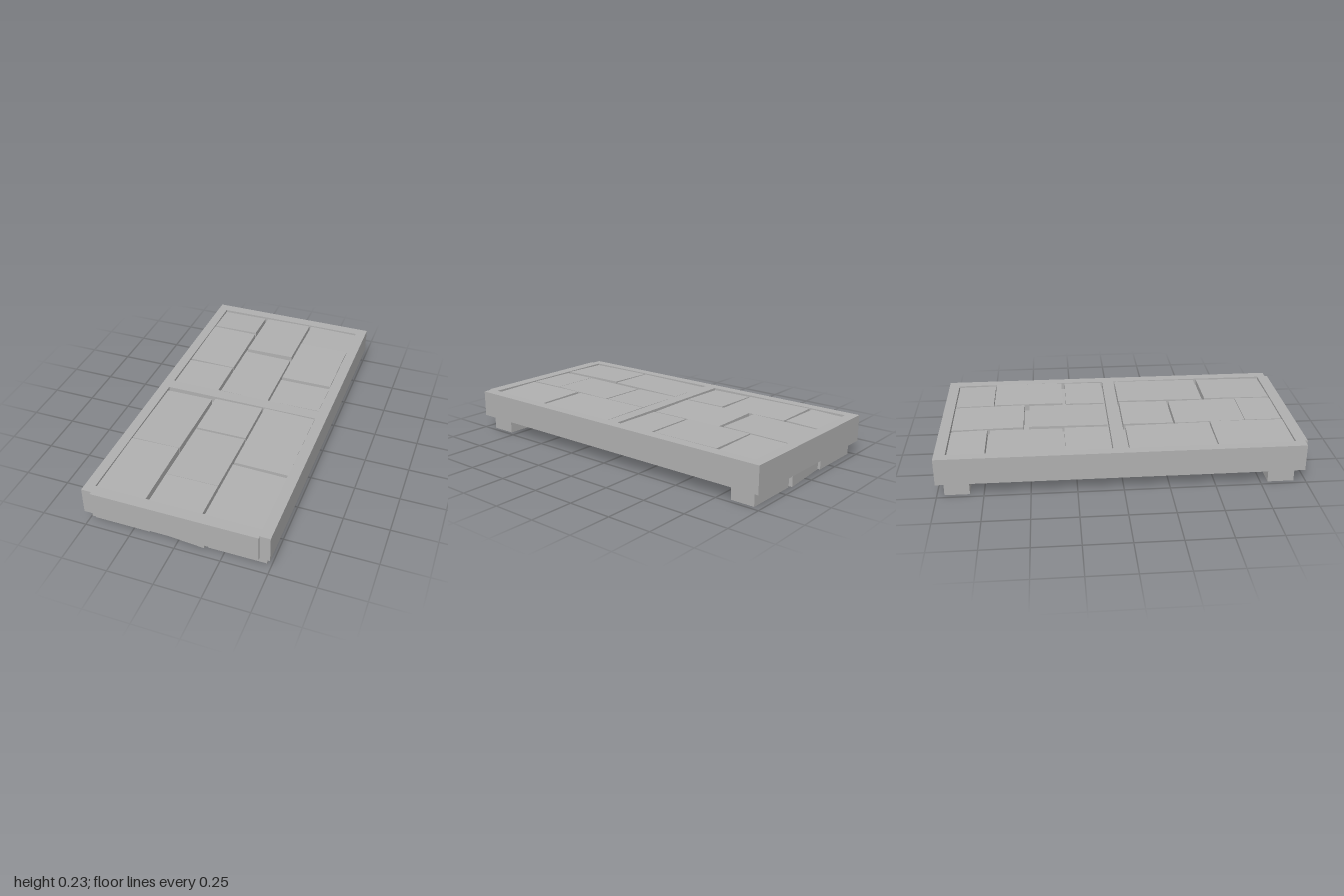
import * as THREE from 'three';

export function createModel() {
  const model = new THREE.Group();
  model.name = 'pavedPlatform';
  const stone = new THREE.MeshStandardMaterial({ color: 0xb0b0b0 });
  stone.name = 'grey stone';

  // box given by its limits on each axis
  function block(name, [x0, x1], [y0, y1], [z0, z1]) {
    const mesh = new THREE.Mesh(new THREE.BoxGeometry(x1 - x0, y1 - y0, z1 - z0), stone);
    mesh.position.set((x0 + x1) / 2, (y0 + y1) / 2, (z0 + z1) / 2);
    mesh.name = name;
    model.add(mesh);
    return mesh;
  }

  // rectangle outline in x and z
  function rect(path, x0, x1, z0, z1) {
    path.moveTo(x0, z0);
    path.lineTo(x1, z0);
    path.lineTo(x1, z1);
    path.lineTo(x0, z1);
    path.closePath();
    return path;
  }

  // frame with two openings and a crossbar between them
  const outline = rect(new THREE.Shape(), -0.505, 0.505, -1, 0.985);
  outline.holes.push(
    rect(new THREE.Path(), -0.45, 0.445, -0.94, -0.055),
    rect(new THREE.Path(), -0.45, 0.445, 0.015, 0.935)
  );
  const frameGeometry = new THREE.ExtrudeGeometry(outline, { depth: 0.15, bevelEnabled: false });
  frameGeometry.rotateX(Math.PI / 2);
  const frame = new THREE.Mesh(frameGeometry, stone);
  frame.position.y = 0.23;
  frame.name = 'frame';
  model.add(frame);

  block('frontFascia', [-0.45, 0.45], [0.08, 0.23], [0.98, 1]);

  // bed panels, slightly recessed below
  block('backBed', [-0.45, 0.445], [0.105, 0.19], [-0.94, -0.055]);
  block('frontBed', [-0.45, 0.445], [0.09, 0.19], [0.015, 0.935]);

  // paving slabs by column: back edge, front edge, top height, tilt about x, tilt about z
  const columns = [
    { x: [-0.448, -0.17], slabs: [
      [-0.935, -0.735, 0.222, -0.03, 0.01],
      [-0.72, -0.32, 0.223, 0.01, -0.01],
      [-0.308, -0.06, 0.221, 0.01, 0.015],
      [0.035, 0.51, 0.223, -0.01, 0.01],
      [0.516, 0.932, 0.226, 0.01, 0.025]] },
    { x: [-0.153, 0.135], slabs: [
      [-0.935, -0.535, 0.226, -0.015, 0.01],
      [-0.505, -0.066, 0.224, 0.01, -0.015],
      [0.025, 0.307, 0.225, 0.01, 0.01],
      [0.32, 0.72, 0.224, -0.008, 0.012],
      [0.722, 0.932, 0.225, 0.008, 0.01]] },
    { x: [0.147, 0.443], slabs: [
      [-0.935, -0.715, 0.224, -0.01, -0.015],
      [-0.71, -0.31, 0.23, 0.004, 0.004],
      [-0.29, -0.066, 0.224, 0.01, 0.01],
      [0.022, 0.52, 0.227, 0.008, -0.008],
      [0.54, 0.932, 0.224, 0.012, -0.02]] }
  ];
  for (const { x, slabs } of columns) {
    for (const [z0, z1, top, tiltX, tiltZ] of slabs) {
      const slab = block('pavingSlab', x, [top - 0.05, top], [z0, z1]);
      slab.rotation.set(tiltX, 0, tiltZ);
    }
  }

  // three supporting stones under each end, the middle one turned a little
  const footSpans = [[-0.475, -0.163], [-0.153, 0.15], [0.16, 0.475]];
  for (const end of [1, -1]) {
    const z = end > 0 ? [0.79, 0.935] : [-0.96, -0.825];
    footSpans.forEach((x, i) => {
      const foot = block(end > 0 ? 'frontFoot' : 'backFoot', x, [0, 0.085], z);
      if (i === 1) foot.rotation.y = -0.08 * end;
    });
  }

  return model;
}
